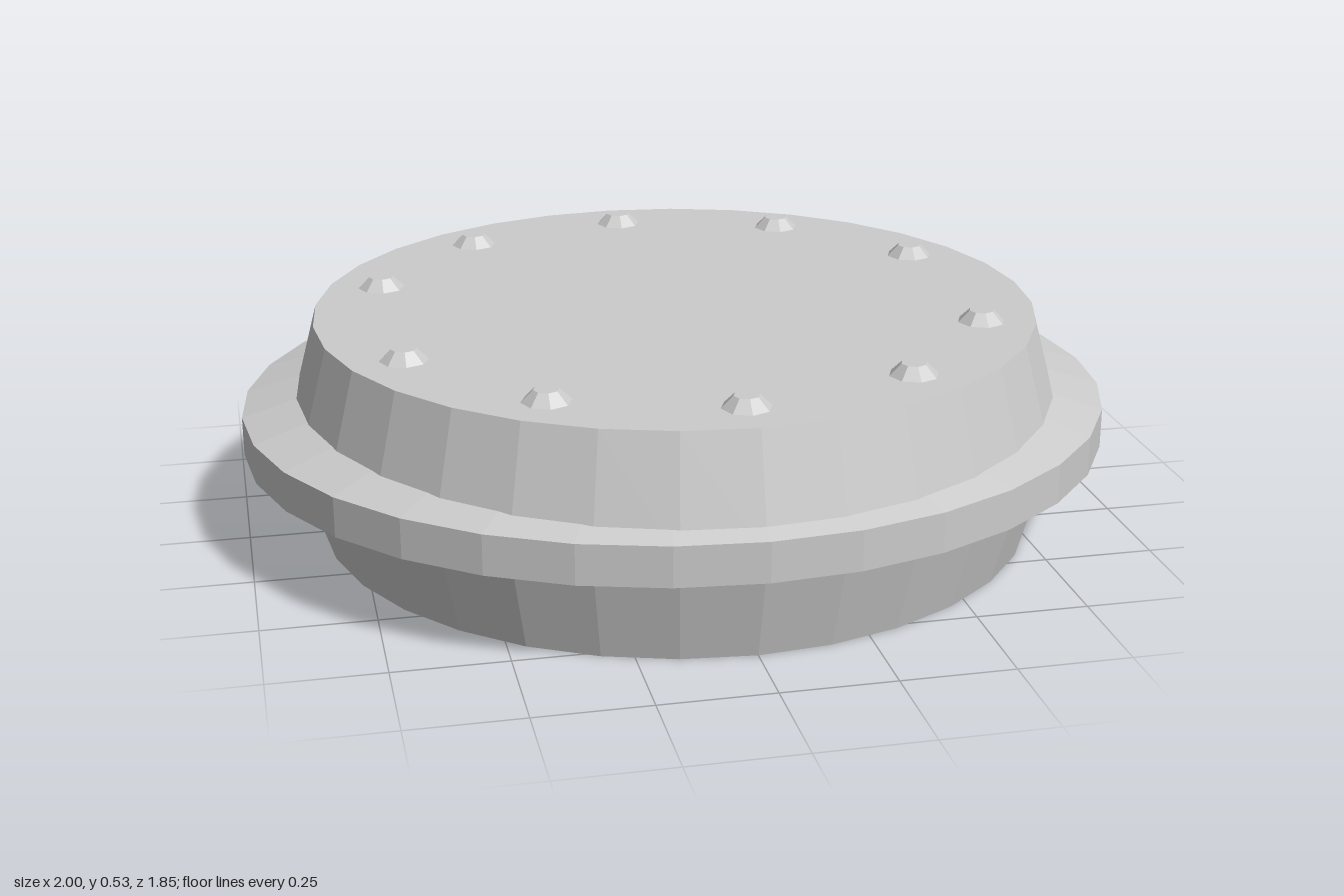
import * as THREE from 'three';

export function createModel() {
  const group = new THREE.Group();
  const material = new THREE.MeshStandardMaterial({ color: 0xcccccc, flatShading: true });
  const sides = 32;

  const turned = (name, points) => {
    const profile = points.map(([r, y]) => new THREE.Vector2(r, y));
    const mesh = new THREE.Mesh(new THREE.LatheGeometry(profile, sides), material);
    mesh.name = name;
    group.add(mesh);
    return mesh;
  };

  // Round drum, widest at mid height
  turned('drum', [[0, 0], [0.83, 0], [0.898, 0.25], [0.83, 0.5], [0, 0.5]]);

  // Bevelled band around the waist, slightly narrower front to back
  const band = turned('band', [[0.82, 0.152], [1, 0.205], [1, 0.295], [0.82, 0.348]]);
  band.scale.z = 0.925;

  // Rivets on the lid, in steps of one drum side; none at the left and right ends
  const rivet = new THREE.CylinderGeometry(0.028, 0.056, 0.028, 8);
  for (const step of [0, 3, 6, 10, 13, 16, 19, 22, 26, 29]) {
    const angle = (step / sides) * Math.PI * 2;
    const mesh = new THREE.Mesh(rivet, material);
    mesh.name = 'rivet';
    mesh.position.set(Math.sin(angle) * 0.706, 0.512, Math.cos(angle) * 0.706);
    group.add(mesh);
  }

  return group;
}
